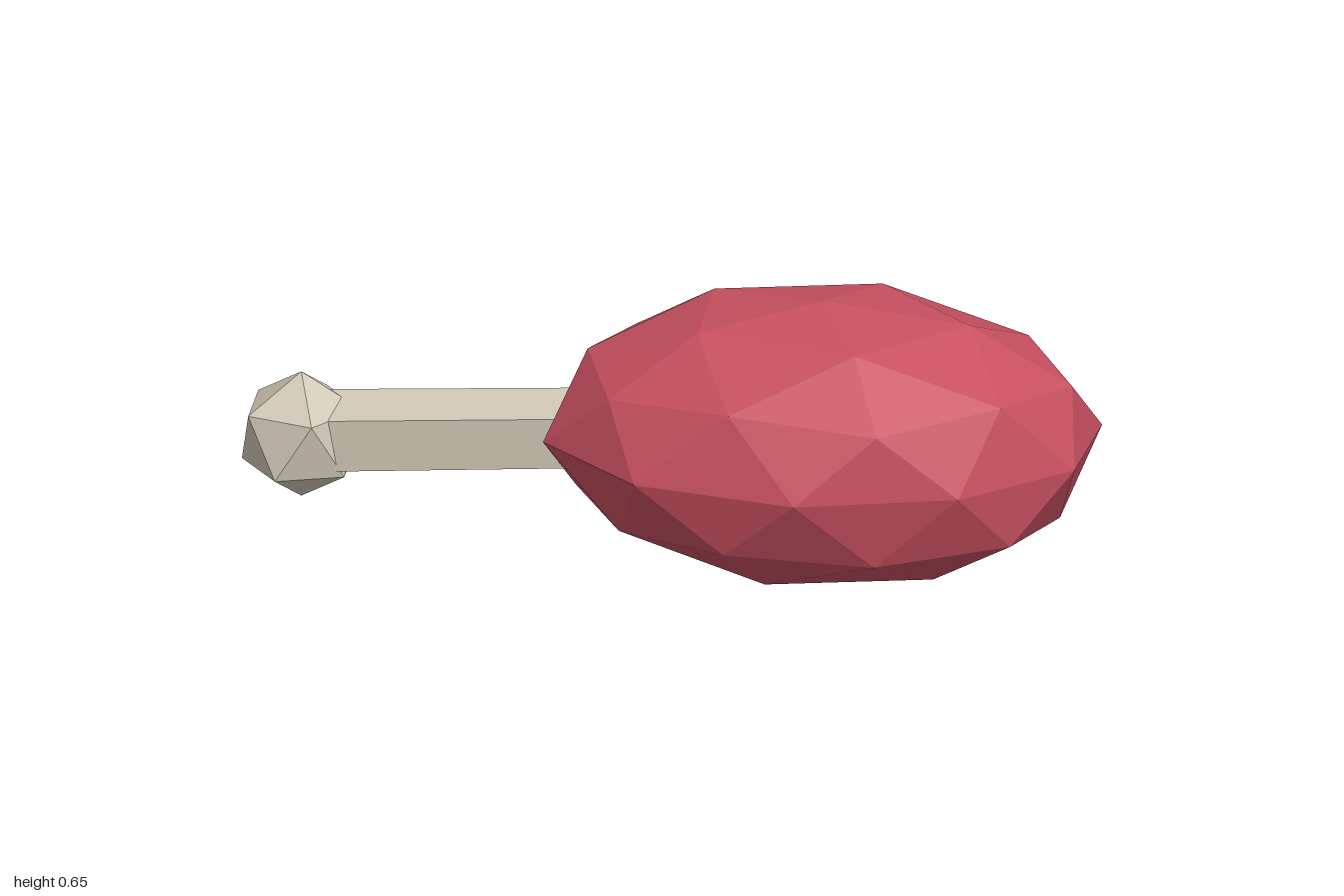
import * as THREE from 'three';

const meatColor = new THREE.MeshStandardMaterial({ color: 0xc75060 });
meatColor.name = 'meat red';
const boneColor = new THREE.MeshStandardMaterial({ color: 0xd0c8b6 });
boneColor.name = 'bone ivory';

// Faceted ball with one corner pointing straight up and an upper-ring corner towards +x
function facetedBall(radius, detail) {
  const geo = new THREE.IcosahedronGeometry(radius, detail);
  geo.rotateZ(-Math.atan(2 / (1 + Math.sqrt(5))));
  return geo;
}

// Height of each ring of corners: [height on the unit ball, height on the meat]
const RINGS = [
  [1, 0.65], [0.851, 0.609], [0.526, 0.5], [0.447, 0.472], [0, 0.318],
  [-0.447, 0.16], [-0.526, 0.142], [-0.851, 0.028], [-1, 0.003],
];

// Uneven widest ring, [x, z] every 36 degrees from 18 degrees
const EQUATOR = [
  [0.975, 0.135], [0.735, 0.352], [0.365, 0.452], [-0.02, 0.37], [-0.265, 0.14],
  [-0.22, -0.145], [-0.02, -0.39], [0.365, -0.455], [0.75, -0.385], [0.998, -0.15],
];

function meatGeometry() {
  const geo = facetedBall(1, 1);
  const pos = geo.attributes.position;
  for (let i = 0; i < pos.count; i++) {
    const x = pos.getX(i), y = pos.getY(i), z = pos.getZ(i);
    const ring = RINGS.reduce((a, b) => (Math.abs(b[0] - y) < Math.abs(a[0] - y) ? b : a));
    let px = 0.37 + x * 0.648, pz = z * 0.45;
    if (ring[0] === 0) {
      const step = Math.round((Math.atan2(z, x) - Math.PI / 10) / (Math.PI / 5));
      [px, pz] = EQUATOR[(step + 10) % 10];
    }
    pos.setXYZ(i, px, ring[1], pz);
  }
  geo.computeVertexNormals(); // unshared corners give flat facets
  return geo;
}

// Five-sided shaft lying along x
function shaftGeometry() {
  const start = THREE.MathUtils.degToRad(-38);
  const geo = new THREE.CylinderGeometry(0.101, 0.105, 0.9, 5, 1, false, start).toNonIndexed();
  geo.rotateZ(-Math.PI / 2);
  geo.computeVertexNormals();
  return geo;
}

export function createModel() {
  const group = new THREE.Group();
  group.name = 'meatOnBone';

  const meat = new THREE.Mesh(meatGeometry(), meatColor);
  meat.name = 'meat';

  const shaft = new THREE.Mesh(shaftGeometry(), boneColor);
  shaft.name = 'boneShaft';
  shaft.position.set(-0.4, 0.264, -0.031);
  shaft.rotation.set(0, -0.115, 0.115);

  const knob = new THREE.Mesh(facetedBall(0.155, 0), boneColor);
  knob.name = 'boneKnob';
  knob.position.set(-0.861, 0.215, -0.08);

  group.add(meat, shaft, knob);
  return group;
}
